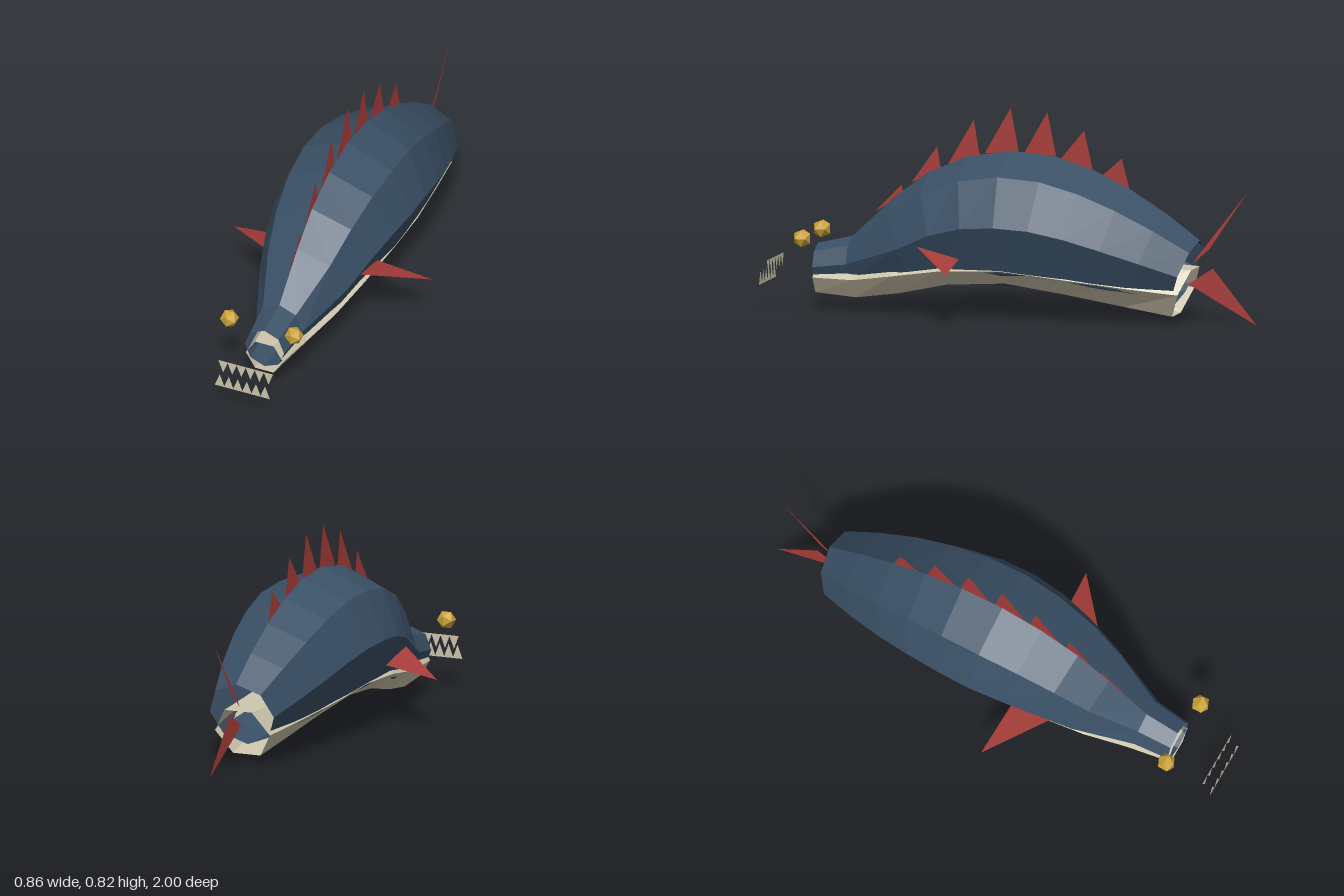
import * as THREE from 'three';

const mat = (name, color) => {
  const m = new THREE.MeshStandardMaterial({ color, flatShading: true, side: THREE.DoubleSide });
  m.name = name;
  return m;
};

// Open tube through rings of [z, y, halfWidth, halfHeight, lean]; lean tips the ring's top along z
function loft(rings, sides, turn) {
  const pos = [], index = [];
  for (const [z, y, w, h, lean] of rings) {
    for (let j = 0; j < sides; j++) {
      const a = (j / sides) * Math.PI * 2 + turn;
      const up = (Math.cos(a) / Math.cos(turn)) * h;
      pos.push(Math.sin(a) * w, y + up * Math.sqrt(1 - lean * lean), z + up * lean);
    }
  }
  for (let i = 0; i < rings.length - 1; i++) {
    for (let j = 0; j < sides; j++) {
      const a = i * sides + j, b = i * sides + ((j + 1) % sides);
      index.push(a, b, a + sides, b, b + sides, a + sides);
    }
  }
  const g = new THREE.BufferGeometry();
  g.setAttribute('position', new THREE.Float32BufferAttribute(pos, 3));
  g.setIndex(index);
  g.computeVertexNormals();
  return g;
}

// Single flat triangle from three corners
function triangle(a, b, c) {
  const g = new THREE.BufferGeometry();
  g.setAttribute('position', new THREE.Float32BufferAttribute([...a, ...b, ...c], 3));
  g.computeVertexNormals();
  return g;
}

export function createModel() {
  const model = new THREE.Group();
  model.name = 'fish';
  const skin = mat('deepBlue', 0x3a5066);
  const bone = mat('paleBone', 0xcdc5ac);
  const red = mat('finRed', 0xa63c38);
  const gold = mat('eyeGold', 0xcba236);
  const add = (name, geometry, material, parent = model) => {
    const mesh = new THREE.Mesh(geometry, material);
    mesh.name = name;
    parent.add(mesh);
    return mesh;
  };
  const group = (name) => {
    const g = new THREE.Group();
    g.name = name;
    model.add(g);
    return g;
  };

  // Arched eight-sided body, open at both ends
  const spine = [
    [0.79, 0.182, 0.085, 0], [0.65, 0.2, 0.1, 0], [0.42, 0.28, 0.188, 0.33],
    [0.28, 0.345, 0.227, 0.28], [0.14, 0.382, 0.255, 0.16], [0, 0.393, 0.27, 0.02],
    [-0.14, 0.385, 0.266, -0.13], [-0.28, 0.355, 0.25, -0.23], [-0.42, 0.313, 0.225, -0.3],
    [-0.57, 0.262, 0.187, -0.34], [-0.715, 0.21, 0.14, -0.37],
  ];
  add('body', loft(spine.map(([z, y, r, lean]) => [z, y, r, r, lean]), 8, 0), skin);

  // Six-sided jaw and belly tube, half sunk in the body
  add('belly', loft([
    [0.79, 0.14, 0.08, 0.063, 0], [0.62, 0.14, 0.105, 0.075, 0], [0.45, 0.168, 0.15, 0.077, 0.15],
    [0.25, 0.2, 0.182, 0.065, 0.15], [0, 0.213, 0.198, 0.062, 0], [-0.25, 0.187, 0.184, 0.071, -0.15],
    [-0.5, 0.157, 0.15, 0.085, -0.25], [-0.71, 0.135, 0.12, 0.101, -0.38],
  ], 6, Math.PI / 6), bone);

  // Dorsal spines: [front z, front y, back z, back y, tip z, tip y]
  const dorsal = group('dorsalSpines');
  for (const [fz, fy, bz, by, tz, ty] of [
    [0.56, 0.4, 0.44, 0.47, 0.45, 0.51], [0.41, 0.52, 0.29, 0.58, 0.305, 0.668],
    [0.26, 0.6, 0.13, 0.63, 0.155, 0.78], [0.11, 0.65, -0.03, 0.65, 0.005, 0.832],
    [-0.05, 0.655, -0.18, 0.65, -0.145, 0.822], [-0.2, 0.64, -0.33, 0.6, -0.295, 0.755],
    [-0.37, 0.58, -0.48, 0.53, -0.448, 0.65],
  ]) add('dorsalSpine', triangle([0, fy, fz], [0, by, bz], [0, ty, tz]), red, dorsal);

  // Forked tail
  const tail = group('tail');
  add('upperTailFin', triangle([0, 0.24, -0.73], [0, 0.305, -0.805], [0, 0.545, -0.967]), red, tail);
  add('lowerTailFin', triangle([0, 0.165, -0.72], [0, 0.23, -0.82], [0, 0.01, -1]), red, tail);

  // Side fins and eyes
  for (const [side, s] of [['left', 1], ['right', -1]]) {
    add(side + 'SideFin', triangle([0.195 * s, 0.3, 0.335], [0.195 * s, 0.255, 0.16],
      [0.428 * s, 0.221, 0.145]), red);
    add(side + 'Eye', new THREE.IcosahedronGeometry(0.038, 0), gold).position.set(0.139 * s, 0.303, 0.815);
  }

  // Two rows of flat teeth ahead of the mouth
  const teeth = group('teeth');
  for (let i = 0; i < 6; i++) {
    const x = (i - 2.5) * 0.039;
    add('upperTooth', triangle([x - 0.021, 0.206, 0.965], [x, 0.152, 0.965], [x + 0.021, 0.206, 0.965]), bone, teeth);
    add('lowerTooth', triangle([x - 0.021, 0.108, 0.997], [x + 0.021, 0.108, 0.997], [x, 0.164, 0.997]), bone, teeth);
  }
  // Rest on the ground
  model.position.y = -0.01;
  return model;
}
